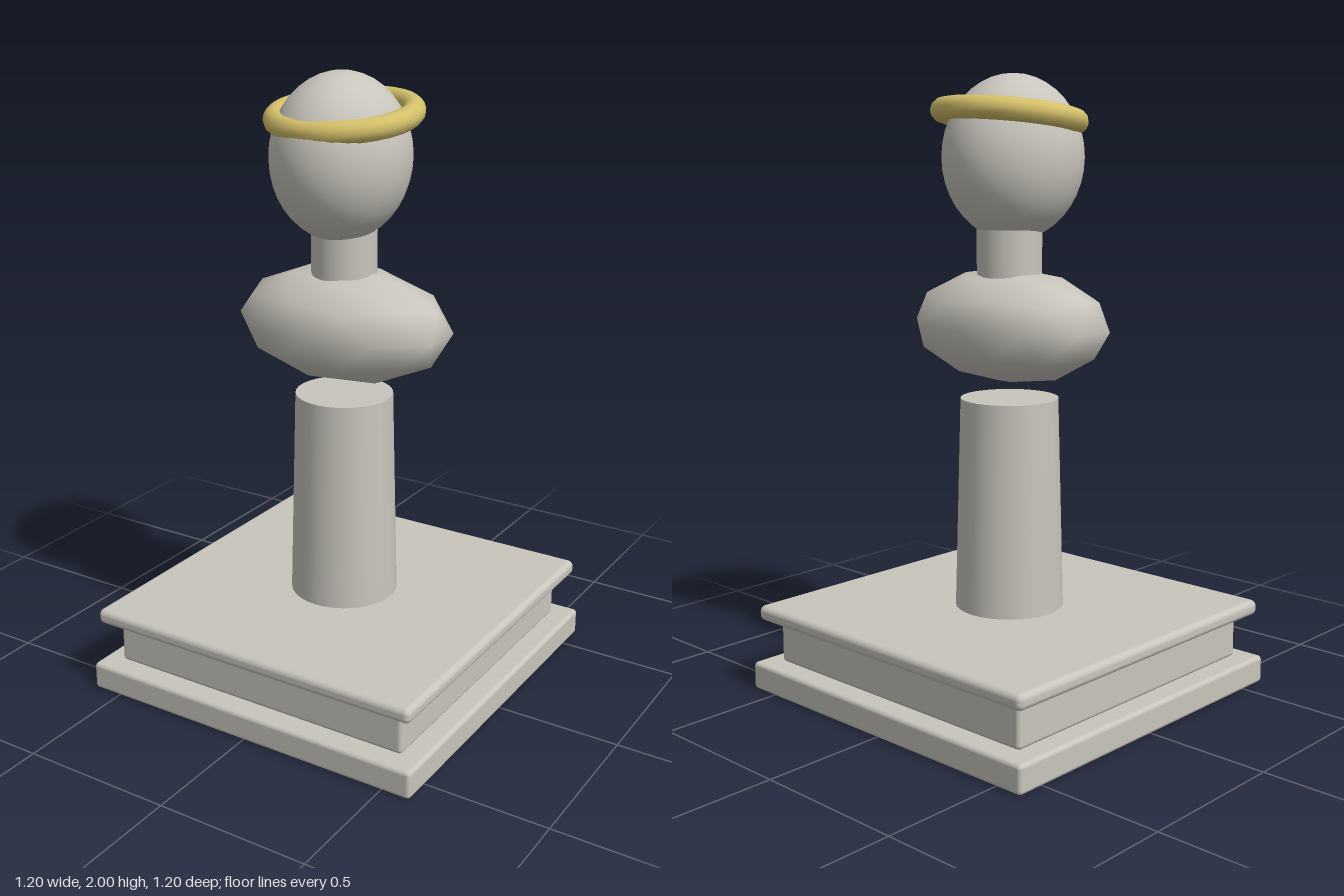
import * as THREE from 'three';
import { RoundedBoxGeometry } from 'three/addons/geometries/RoundedBoxGeometry.js';

export function createModel() {
  const model = new THREE.Group();
  const stone = new THREE.MeshStandardMaterial({ color: 0xc8c5bc });
  stone.name = 'stone';
  const gold = new THREE.MeshStandardMaterial({ color: 0xd4c06a });
  gold.name = 'gold';

  const add = (name, geometry, material, y, z = 0) => {
    const mesh = new THREE.Mesh(geometry, material);
    mesh.name = name;
    mesh.position.set(0, y, z);
    model.add(mesh);
    return mesh;
  };

  // Stepped square plinth: name, width, bottom, top, edge radius
  const slabs = [
    ['plinthFoot', 1.2, 0, 0.092, 0.014],
    ['plinthBlock', 1.065, 0.092, 0.235, 0.014],
    ['plinthCap', 1.17, 0.235, 0.286, 0.02],
  ];
  for (const [name, width, y0, y1, radius] of slabs) {
    add(name, new RoundedBoxGeometry(width, y1 - y0, width, 3, radius), stone, (y0 + y1) / 2);
  }

  // Tapered column
  add('column', new THREE.CylinderGeometry(0.158, 0.177, 0.695, 32), stone, 0.628);

  // Faceted-outline shoulders: icosphere turned to stand on a vertex, then stretched
  const shoulders = new THREE.IcosahedronGeometry(1, 1);
  shoulders.rotateX(-Math.atan((1 + Math.sqrt(5)) / 2));
  shoulders.rotateY(Math.PI / 2);
  shoulders.scale(0.372, 0.185, 0.235);
  add('shoulders', shoulders, stone, 1.21);

  // Neck and egg-shaped head
  add('neck', new THREE.CylinderGeometry(0.104, 0.104, 0.26, 32), stone, 1.43);
  const head = new THREE.SphereGeometry(1, 32, 20);
  head.scale(0.215, 0.26, 0.238);
  add('head', head, stone, 1.74, 0.018);

  // Head ring, tipped down at the front
  const ring = new THREE.TorusGeometry(0.213, 0.036, 12, 32);
  ring.rotateX(Math.PI / 2 + 0.125);
  add('headRing', ring, gold, 1.867);

  return model;
}
